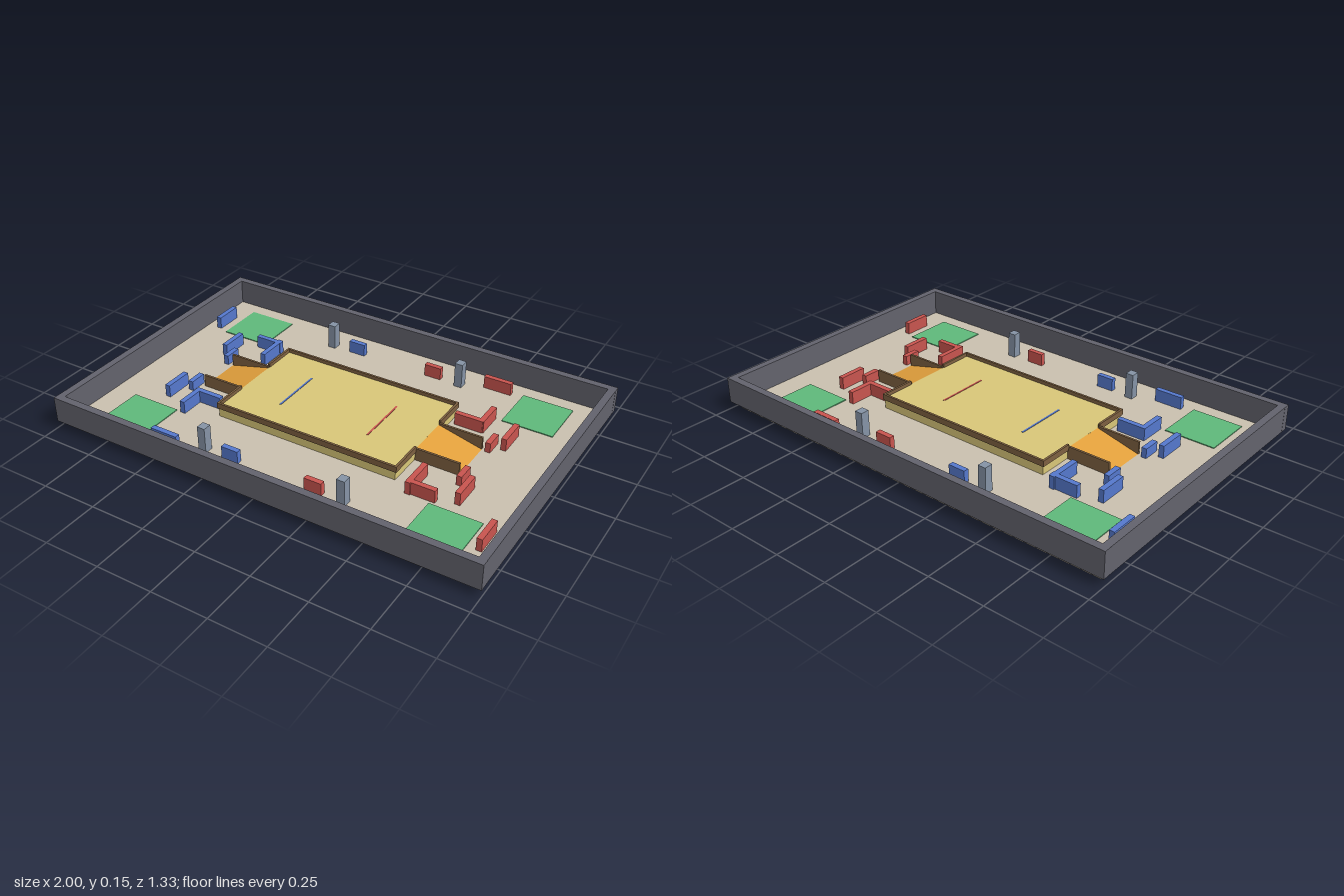
import * as THREE from 'three';

const FLOOR = 0.033, DECK = 0.083;

export function createModel() {
  const model = new THREE.Group();
  const mat = (color) => new THREE.MeshStandardMaterial({ color });
  const mats = {
    wall: mat(0x62626c), floor: mat(0xc9bfae), deck: mat(0xd8c678), ramp: mat(0xe2a03c),
    rim: mat(0x7d6040), green: mat(0x5fb87a), blue: mat(0x5578cc), red: mat(0xc8544e), grey: mat(0x8593a5),
  };

  // Box given by its centre in plan, its size and the height of its underside
  const box = (name, material, x, z, w, d, y0, y1) => {
    const mesh = new THREE.Mesh(new THREE.BoxGeometry(w, y1 - y0, d), mats[material]);
    mesh.position.set(x, (y0 + y1) / 2, z);
    mesh.name = name;
    model.add(mesh);
    return mesh;
  };

  // Floor slab and perimeter walls
  box('floor', 'floor', 0, 0, 1.934, 1.267, 0, FLOOR);
  for (const s of [-1, 1]) {
    box('longWall', 'wall', 0, s * 0.65, 2, 0.033, FLOOR, 0.15);
    box('endWall', 'wall', s * 0.983, 0, 0.033, 1.267, FLOOR, 0.15);
  }

  // Raised central platform
  box('platform', 'deck', 0, 0, 0.867, 0.54, FLOOR, DECK);
  box('blueLine', 'blue', -0.217, -0.003, 0.008, 0.25, DECK, DECK + 0.002);
  box('redLine', 'red', 0.217, -0.003, 0.008, 0.25, DECK, DECK + 0.002);

  for (const s of [-1, 1]) {
    // Platform rim, left open at the ramps
    box('longRim', 'rim', 0, s * 0.27, 0.88, 0.01, FLOOR + 0.04, 0.1);
    for (const t of [-1, 1]) {
      box('endRim', 'rim', s * 0.435, t * 0.19, 0.01, 0.165, FLOOR + 0.04, 0.1);
      box('rampSide', 'rim', s * 0.535, t * 0.105, 0.2, 0.01, FLOOR, 0.09);
      box('cornerPad', 'green', s * 0.733, t * 0.45, 0.233, 0.233, FLOOR, FLOOR + 0.004);
      box('pillar', 'grey', s * 0.333, t * 0.5, 0.037, 0.04, FLOOR, 0.15);
    }

    // Wedge ramp
    const profile = new THREE.Shape([
      new THREE.Vector2(s * 0.433, FLOOR),
      new THREE.Vector2(s * 0.635, FLOOR),
      new THREE.Vector2(s * 0.433, DECK),
    ]);
    const ramp = new THREE.Mesh(
      new THREE.ExtrudeGeometry(profile, { depth: 0.2, bevelEnabled: false }), mats.ramp);
    ramp.position.z = -0.1;
    ramp.name = 'ramp';
    model.add(ramp);
  }

  // Barriers: x, z, length, and whether they run along x
  const barriers = {
    blue: [
      [-0.903, -0.417, 0.13], [-0.72, -0.22, 0.13], [-0.667, -0.133, 0.08],
      [-0.57, -0.31, 0.13, true], [-0.52, -0.253, 0.15], [-0.667, 0.13, 0.08],
      [-0.72, 0.2, 0.13], [-0.525, 0.217, 0.13, true], [-0.583, 0.27, 0.13],
      [-0.503, 0.547, 0.13, true], [-0.2, -0.503, 0.08, true], [-0.2, 0.5, 0.08, true],
    ],
    red: [
      [0.5, -0.55, 0.13, true], [0.577, -0.273, 0.13], [0.52, -0.217, 0.13, true],
      [0.713, -0.203, 0.13], [0.663, -0.133, 0.08], [0.663, 0.13, 0.08],
      [0.713, 0.217, 0.13], [0.517, 0.25, 0.15], [0.57, 0.307, 0.13, true],
      [0.9, 0.417, 0.13], [0.2, -0.503, 0.08, true], [0.2, 0.5, 0.08, true],
    ],
  };
  for (const [side, list] of Object.entries(barriers)) {
    for (const [x, z, len, alongX] of list) {
      const top = len < 0.1 && !alongX ? 0.078 : 0.09;
      box(side + 'Barrier', side, x, z, alongX ? len : 0.024, alongX ? 0.024 : len, FLOOR, top);
    }
  }

  return model;
}
